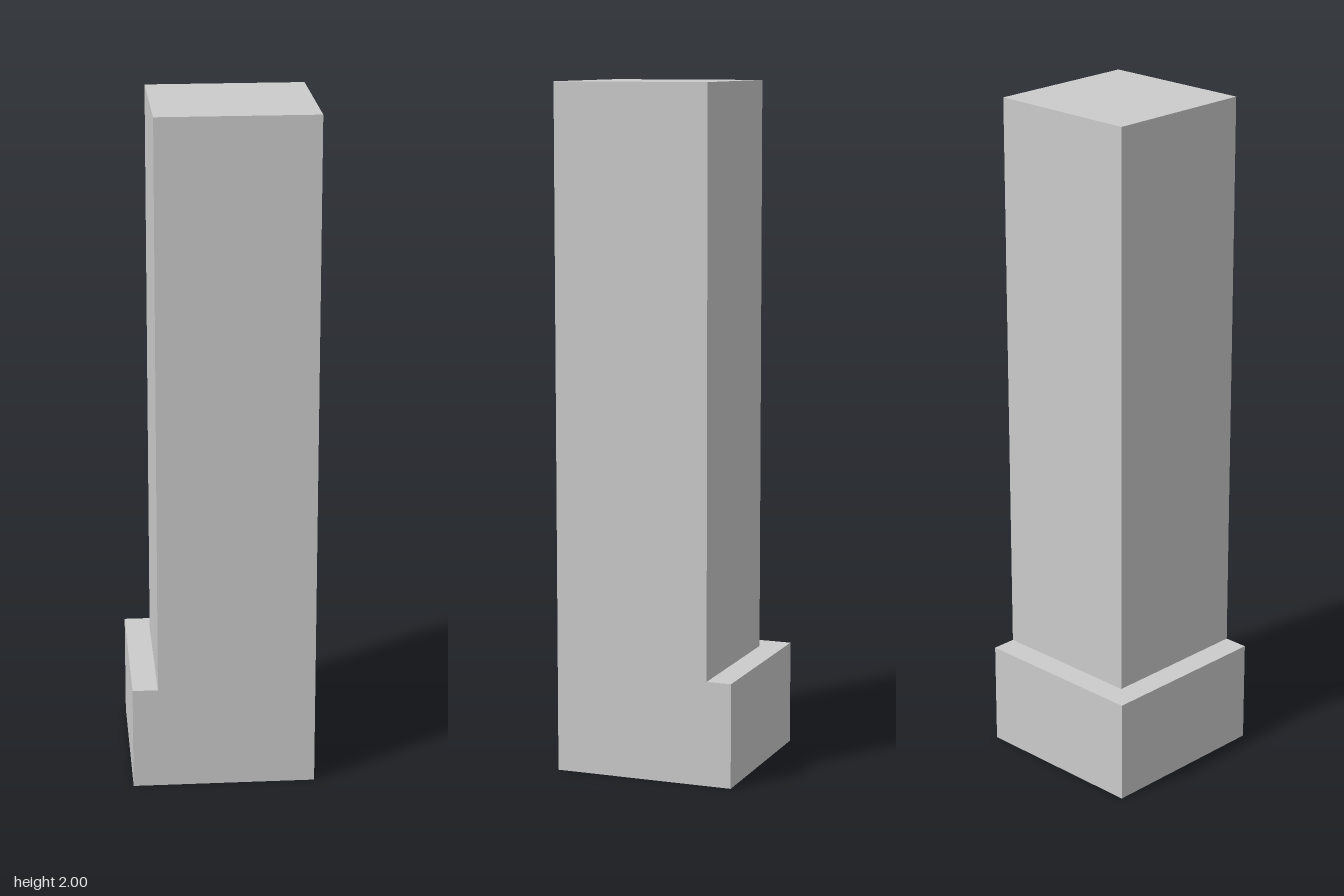
import * as THREE from 'three';

const HALF = 0.268;      // half width of the square base
const STEP = -0.194;     // where the shaft is set back at the right and rear
const BASE_TOP = 0.307;
const TOP = 2;

export function createModel() {
  const model = new THREE.Group();
  model.name = 'pillar';
  const material = new THREE.MeshStandardMaterial({ color: 0xcccccc, flatShading: true });

  // Square block spanning min..HALF in both x and z
  const addBlock = (name, min, y0, y1) => {
    const size = HALF - min;
    const mesh = new THREE.Mesh(new THREE.BoxGeometry(size, y1 - y0, size), material);
    mesh.name = name;
    mesh.position.set((HALF + min) / 2, (y0 + y1) / 2, (HALF + min) / 2);
    model.add(mesh);
  };

  // Plinth, and a shaft flush with its front and left faces
  addBlock('base', -HALF, 0, BASE_TOP);
  addBlock('shaft', STEP, BASE_TOP, TOP);

  return model;
}
